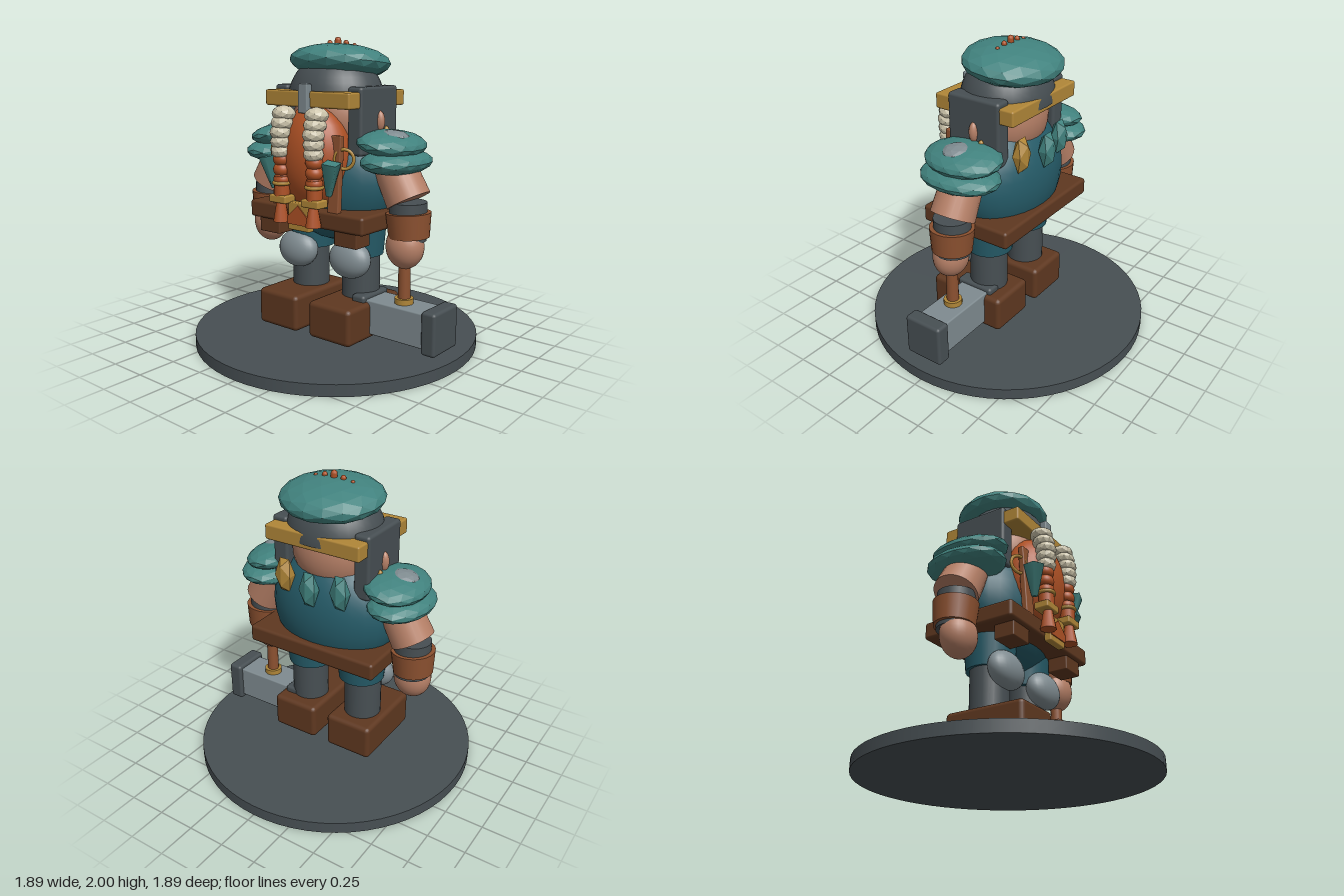
import * as THREE from 'three';
import { RoundedBoxGeometry } from 'three/addons/geometries/RoundedBoxGeometry.js';

const mat = (name, color) => Object.assign(new THREE.MeshStandardMaterial({ color }), { name });

export function createModel() {
  const group = new THREE.Group();
  group.name = 'blacksmithFigure';
  const M = {
    iron: mat('darkIron', 0x474f53),
    steel: mat('lightSteel', 0x7f8b90),
    brown: mat('darkLeather', 0x5f3820),
    leather: mat('tanLeather', 0x8c5130),
    orange: mat('orangeHair', 0xae5125),
    gold: mat('gold', 0xb08638),
    skin: mat('skin', 0xb57f66),
    cream: mat('creamHair', 0xcbc3aa),
    teal: mat('tealCloth', 0x41827e),
    dark: mat('deepTealCloth', 0x255b68),
  };

  const add = (name, geo, m, x, y, z, rx = 0, ry = 0, rz = 0) => {
    const mesh = new THREE.Mesh(geo, m);
    mesh.name = name;
    mesh.position.set(x, y, z);
    mesh.rotation.set(rx, ry, rz);
    group.add(mesh);
    return mesh;
  };
  const box = (w, h, d, r = 0.02) => new RoundedBoxGeometry(w, h, d, 2, r);
  const cyl = (rt, rb, h, n = 24) => new THREE.CylinderGeometry(rt, rb, h, n);
  const ball = (a, b, c) => new THREE.SphereGeometry(1, 28, 18).scale(a, b, c);
  // faceted ellipsoid with flat normals
  const facet = (a, b, c, detail = 1) => {
    const g = new THREE.IcosahedronGeometry(1, detail).scale(a, b, c);
    g.computeVertexNormals();
    return g;
  };

  // stand
  add('baseDisc', cyl(0.945, 0.945, 0.075, 64), M.iron, 0, 0.0375, 0);

  // body and belt
  add('torso', ball(0.445, 0.42, 0.295), M.dark, 0, 1.1, -0.01);
  add('belt', box(0.94, 0.115, 0.65), M.brown, 0, 0.882, 0.005);
  add('buckle', box(0.175, 0.18, 0.05, 0.008), M.gold, 0, 0.89, 0.35);
  const crest = new THREE.Shape([[-0.085, 0], [0.085, 0], [0.085, 0.05], [0, 0.125], [-0.085, 0.05]]
    .map(p => new THREE.Vector2(...p)));
  add('buckleCrest', new THREE.ExtrudeGeometry(crest, { depth: 0.008, bevelEnabled: false }),
    M.orange, 0, 0.838, 0.374);

  // head
  add('head', ball(0.29, 0.29, 0.245), M.skin, 0, 1.5, 0);
  add('helmetDome', ball(0.325, 0.31, 0.29), M.iron, 0, 1.6, 0)
    .geometry = new THREE.SphereGeometry(1, 32, 12, 0, Math.PI * 2, 0, Math.PI / 2).scale(0.325, 0.31, 0.29);
  add('helmetBand', box(0.685, 0.1, 0.58, 0.012), M.gold, 0, 1.62, 0.01);
  add('noseGuard', box(0.075, 0.18, 0.05, 0.008), M.steel, 0, 1.625, 0.305);
  add('cap', facet(0.34, 0.115, 0.31, 2), M.teal, 0, 1.845, -0.04, -0.1);
  for (let i = -2; i <= 2; i++) {
    const k = Math.abs(i), r = 0.021 - k * 0.004;
    add('capStud', new THREE.CapsuleGeometry(r, 0.05 - k * 0.01, 4, 10), M.orange,
      i * 0.067, 1.955 - k * 0.011, -0.02);
  }

  // beard
  add('beard', ball(0.26, 0.34, 0.19), M.orange, 0, 1.25, 0.21);

  // parts that mirror left and right
  for (const s of [1, -1]) {
    const X = v => v * s;
    // legs
    add('boot', box(0.335, 0.24, 0.55, 0.03), M.brown, X(0.218), 0.225, 0.075);
    add('shin', cyl(0.125, 0.125, 0.5), M.iron, X(0.215), 0.55, 0.005);
    add('thigh', cyl(0.175, 0.152, 0.26), M.dark, X(0.205), 0.75, 0);
    add('kneePad', ball(0.155, 0.125, 0.09), M.steel, X(0.22), 0.605, 0.13, -0.15);
    add('beltPouch', box(0.175, 0.12, 0.14, 0.008), M.brown, X(0.318), 0.79, 0.235);
    add('chestStrap', box(0.085, 0.5, 0.04, 0.008), M.leather, X(0.23), 1.16, 0.285, -0.06);

    // helmet sides and ears
    add('helmetCheekPlate', box(0.11, 0.42, 0.38), M.iron, X(0.3), 1.49, 0.005);
    add('ear', ball(0.035, 0.065, 0.03), M.skin, X(0.35), 1.485, 0);
    add('earBead', ball(0.018, 0.03, 0.018), M.gold, X(0.36), 1.42, -0.06);

    // shoulders
    add('upperPauldron', facet(0.195, 0.078, 0.265, 2), M.teal, X(0.45), 1.355, 0.005, 0, 0, X(-0.15));
    add('lowerPauldron', facet(0.2, 0.08, 0.275, 2), M.teal, X(0.485), 1.245, 0.005);
    add('pauldronCap', facet(0.095, 0.04, 0.095), M.steel, X(0.485), 1.4, 0.025, 0, 0, X(-0.15));

    // arms
    add('upperArm', cyl(0.125, 0.143, 0.4), M.skin, X(0.48), 1.185, 0, 0, 0, X(0.5));
    add('forearm', cyl(0.118, 0.118, 0.24), M.iron, X(0.575), 0.885, 0.005);
    add('bracer', cyl(0.142, 0.128, 0.155), M.leather, X(0.582), 0.862, 0.005, 0, 0, X(0.05));
    add('hand', ball(0.125, 0.14, 0.11), M.skin, X(0.572), 0.725, 0.027);

    // braids, from top to tip
    for (let i = 0; i < 5; i++) {
      const r = 0.077 - i * 0.003;
      add('creamBraidKnot', facet(r, 0.052, r), M.cream, X(0.135), 1.53 - i * 0.058,
        0.35 + 0.03 * Math.min(1, i / 2), 0, i * 0.5);
    }
    for (let i = 0; i < 3; i++) {
      add('orangeBraidKnot', ball(0.056, 0.048, 0.052), M.orange, X(0.135), 1.245 - i * 0.065, 0.375);
    }
    add('braidEnd', cyl(0.05, 0.05, 0.16, 16), M.orange, X(0.135), 1.06, 0.375);
    add('braidRing', new THREE.TorusGeometry(0.05, 0.013, 8, 20), M.gold, X(0.135), 1.095, 0.375, Math.PI / 2);
    add('braidCuff', box(0.14, 0.05, 0.1, 0.01), M.gold, X(0.135), 0.995, 0.375);
    add('braidTip', cyl(0.03, 0.052, 0.125, 10), M.orange, X(0.135), 0.91, 0.385);

    // charms beside the beard
    add('beardCharm', cyl(0.065, 0.02, 0.21, 4).toNonIndexed(), M.teal, X(0.245), 1.15, 0.355, 0, X(-0.5), X(-0.2));
    add('goldHoop', new THREE.TorusGeometry(0.06, 0.011, 8, 24), M.gold, X(0.285), 1.27, 0.27, 0, X(0.4));
  }

  // gems along the back of the collar
  for (const [x, y, z, m] of [[0.215, 1.35, -0.255, M.gold], [0, 1.32, -0.3, M.teal], [-0.2, 1.33, -0.26, M.teal]]) {
    add('collarGem', facet(0.068, 0.13, 0.055, 0), m, x, y, z);
  }

  // hammer held in the left hand
  add('hammerHandle', cyl(0.038, 0.04, 0.4, 16), M.leather, 0.572, 0.55, 0.027);
  add('hammerCollar', cyl(0.06, 0.06, 0.035, 16), M.gold, 0.572, 0.378, 0.027);
  add('hammerHead', box(0.46, 0.225, 0.215, 0.01), M.steel, 0.567, 0.248, 0.025);
  for (const s of [1, -1]) add('hammerFace', box(0.1, 0.275, 0.27), M.iron, 0.568 + s * 0.262, 0.248, 0.025);

  return group;
}
